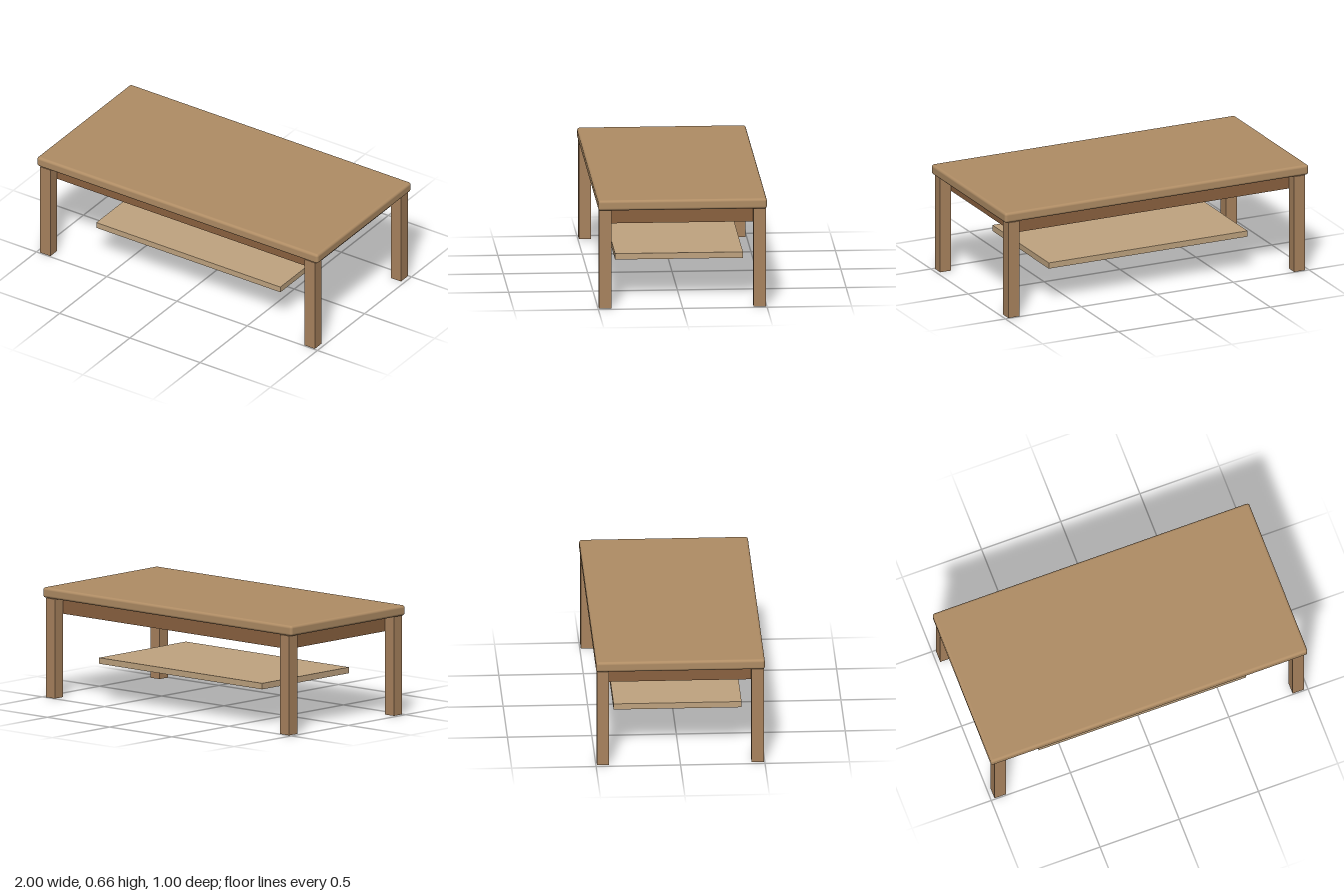
import * as THREE from 'three';
import { RoundedBoxGeometry } from 'three/addons/geometries/RoundedBoxGeometry.js';

const paint = (color) => new THREE.MeshStandardMaterial({ color });

export function createModel() {
  const table = new THREE.Group();
  table.name = 'coffeeTable';

  const add = (name, geometry, material, x, y, z) => {
    const mesh = new THREE.Mesh(geometry, material);
    mesh.name = name;
    mesh.position.set(x, y, z);
    table.add(mesh);
  };

  const topWood = paint(0xb08d65);
  const legWood = paint(0xa9835e);
  const apronWood = paint(0x8b6240);
  const shelfWood = paint(0xc0a480);

  // Rounded tabletop
  add('tabletop', new RoundedBoxGeometry(2, 0.062, 1, 4, 0.016), topWood, 0, 0.627, 0);

  // Solid apron block between the legs, just short of the top
  add('apron', new THREE.BoxGeometry(1.814, 0.085, 0.844), apronWood, 0, 0.543, 0);

  // Floating lower shelf
  add('shelf', new THREE.BoxGeometry(1.31, 0.036, 0.758), shelfWood, 0, 0.242, 0);

  // Four square legs
  const legShape = new THREE.BoxGeometry(0.072, 0.596, 0.072);
  for (const [endName, z] of [['front', 0.458], ['back', -0.458]]) {
    for (const [sideName, x] of [['Left', 0.941], ['Right', -0.941]]) {
      add(`${endName}${sideName}Leg`, legShape, legWood, x, 0.298, z);
    }
  }

  return table;
}
